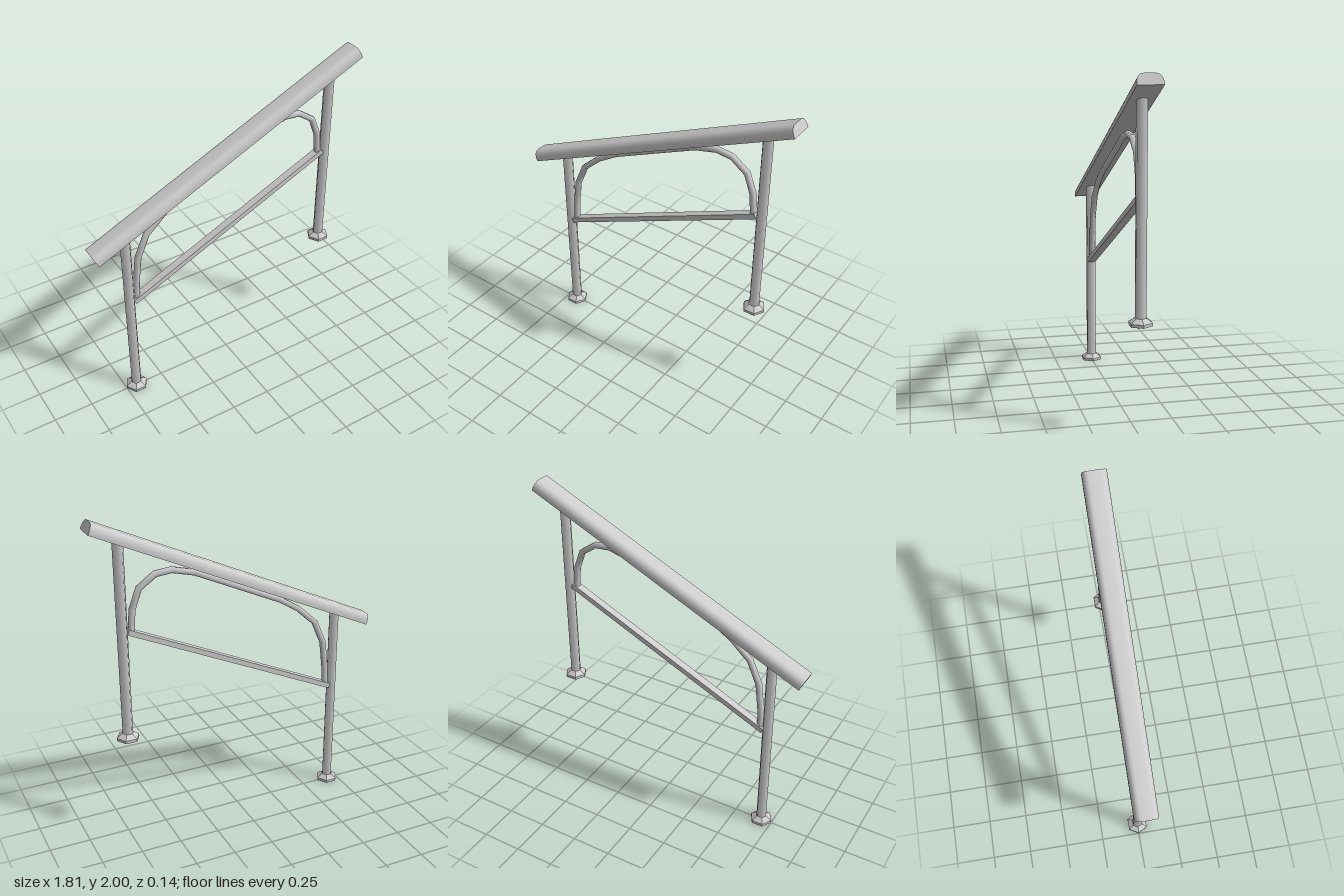
import * as THREE from 'three';
import { toCreasedNormals } from 'three/addons/utils/BufferGeometryUtils.js';

const material = new THREE.MeshStandardMaterial({ color: 0xcccccc, side: THREE.DoubleSide });
const SLOPE = Math.atan2(0.815, 1.78);

function part(name, geometry) {
  const mesh = new THREE.Mesh(geometry, material);
  mesh.name = name;
  return mesh;
}

// Tube path that bends exactly at each given point
class BentPath extends THREE.Curve {
  constructor(points) {
    super();
    this.points = points.map(([x, y]) => new THREE.Vector3(x, y, 0));
  }
  getPointAt(t) {
    return this.points[Math.round(t * (this.points.length - 1))].clone();
  }
  getTangentAt(t) {
    const p = this.points, last = p.length - 1, i = Math.round(t * last);
    const into = p[Math.max(i, 1)].clone().sub(p[Math.max(i, 1) - 1]).normalize();
    const out = p[Math.min(i + 1, last)].clone().sub(p[Math.min(i, last - 1)]).normalize();
    return into.add(out).normalize();
  }
}

// Six-sided post with a flared foot, hollow underneath
function createPost(name, x, bottom, top) {
  const post = new THREE.Group();
  post.name = name;
  const shaft = part('shaft', new THREE.CylinderGeometry(0.033, 0.033, top - bottom - 0.03, 6, 1, false, Math.PI / 2));
  shaft.position.y = (top - bottom + 0.03) / 2;
  const profile = [[0.07, 0], [0.07, 0.018], [0.035, 0.042]].map(([r, y]) => new THREE.Vector2(r, y));
  const foot = part('foot', toCreasedNormals(new THREE.LatheGeometry(profile, 6, Math.PI / 2), 0.5));
  post.add(shaft, foot);
  post.position.set(x, bottom, 0);
  return post;
}

// Sloped handrail: flat underside, rounded top
function createHandrail() {
  const w = 0.072, h = 0.0325, length = 1.958;
  const shape = new THREE.Shape();
  shape.moveTo(-w, -h);
  shape.lineTo(w, -h);
  shape.lineTo(w, -h + 0.012);
  shape.bezierCurveTo(w, 0.012, 0.055, h, 0.03, h);
  shape.lineTo(-0.03, h);
  shape.bezierCurveTo(-0.055, h, -w, 0.012, -w, -h + 0.012);
  shape.closePath();
  const geometry = new THREE.ExtrudeGeometry(shape, { depth: length, bevelEnabled: false, curveSegments: 6 });
  geometry.translate(0, 0, -length / 2).rotateY(Math.PI / 2);
  const rail = part('handrail', toCreasedNormals(geometry, 0.7));
  rail.rotation.z = SLOPE;
  rail.position.set(-0.002, 1.563, 0);
  return rail;
}

export function createModel() {
  const model = new THREE.Group();
  model.name = 'stairRailing';
  model.add(createHandrail());
  model.add(createPost('lowerPost', -0.68, 0, 1.24));
  model.add(createPost('upperPost', 0.72, 0.645, 1.88));

  // Sloped bar between the posts
  const bar = part('lowerBar', new THREE.BoxGeometry(1.48, 0.032, 0.05));
  bar.rotation.z = SLOPE;
  bar.position.set(0.018, 1.025, 0);
  model.add(bar);

  // Bent arch from the bar up to the handrail
  const arch = new BentPath([
    [-0.632, 0.73], [-0.627, 0.85], [-0.604, 1.03], [-0.54, 1.175], [-0.42, 1.285], [-0.29, 1.367],
    [0.27, 1.625], [0.41, 1.66], [0.51, 1.65], [0.61, 1.58], [0.655, 1.46], [0.667, 1.33],
  ]);
  model.add(part('arch', new THREE.TubeGeometry(arch, arch.points.length - 1, 0.02, 6)));
  return model;
}
